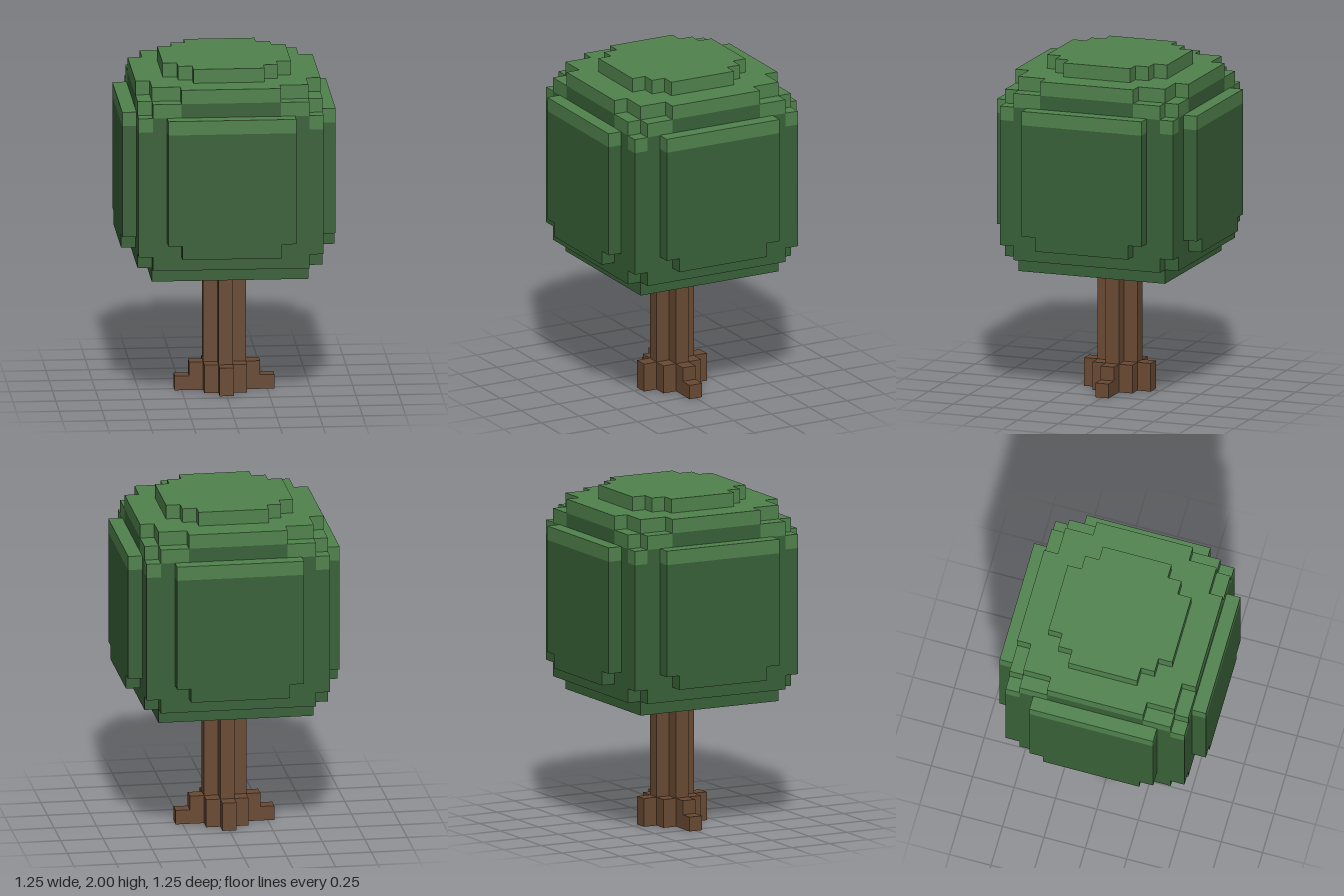
import * as THREE from 'three';

const U = 0.083;        // block size
const CROWN_Y = 0.755;  // underside of the crown

const mat = (name, color) => {
  const m = new THREE.MeshStandardMaterial({ color });
  m.name = name;
  return m;
};

// Stepped outline with four-fold symmetry; steps are [halfX, halfZ] in blocks, from wide to deep.
function steppedShape(steps) {
  const quarter = [];
  steps.forEach(([a, b], i) => {
    if (i > 0) quarter.push([a, steps[i - 1][1]]);
    quarter.push([a, b]);
  });
  const pts = [];
  for (let q = 0; q < 4; q++) {
    const c = [1, 0, -1, 0][q], s = [0, 1, 0, -1][q];
    for (const [x, y] of quarter) pts.push(new THREE.Vector2((c * x - s * y) * U, (s * x + c * y) * U));
  }
  return new THREE.Shape(pts);
}

export function createModel() {
  const tree = new THREE.Group();
  tree.name = 'blockTree';
  const lightLeaf = mat('lightLeaf', 0x50834d);
  const darkLeaf = mat('darkLeaf', 0x396138);
  const bark = mat('bark', 0x694a33);

  const add = (parent, name, geo, material) => {
    const mesh = new THREE.Mesh(geo, material);
    mesh.name = name;
    parent.add(mesh);
    return mesh;
  };
  const slab = (parent, name, steps, y0, y1, material) => {
    const geo = new THREE.ExtrudeGeometry(steppedShape(steps), { depth: y1 - y0, bevelEnabled: false });
    geo.rotateX(-Math.PI / 2).translate(0, y0, 0);
    add(parent, name, geo, material);
  };
  // Box given by its block bounds inside the crown
  const block = (parent, name, [x0, x1], [l0, l1], [z0, z1], material) => {
    const geo = new THREE.BoxGeometry((x1 - x0) * U, (l1 - l0) * U, (z1 - z0) * U);
    geo.translate((x0 + x1) / 2 * U, CROWN_Y + (l0 + l1) / 2 * U, (z0 + z1) / 2 * U);
    add(parent, name, geo, material);
  };

  // Trunk, flared base and two side roots
  slab(tree, 'trunk', [[1.5, 0.5], [0.5, 1.5]], 0.168, CROWN_Y, bark);
  slab(tree, 'trunkBase', [[2.5, 0.5], [1.5, 1.5], [0.5, 2.5]], 0, 0.168, bark);
  for (const side of [-1, 1]) {
    const root = add(tree, 'root', new THREE.BoxGeometry(U, 0.085, U), bark);
    root.position.set(side * 3 * U, 0.0425, 0);
  }

  // Crown core: stacked layers, [name, outline, first layer, end layer, material]
  const crown = new THREE.Group();
  crown.name = 'crown';
  tree.add(crown);
  const notched = [[6.5, 5.5], [5.5, 6.5]];
  const rounded = [[6.5, 3.5], [5.5, 5.5], [3.5, 6.5]];
  const layers = [
    ['crownUnderside', [[5.5, 5.5]], 0, 1, darkLeaf],
    ['crownLowerStep', notched, 1, 2, darkLeaf],
    ['crownCore', [[6.5, 6.5]], 2, 11, darkLeaf],
    ['crownShoulder', notched, 11, 12, darkLeaf],
    ['crownUpperStep', rounded, 12, 13, darkLeaf],
    ['crownUpperRim', rounded, 13, 14, lightLeaf],
    ['crownTop', [[4.5, 2.5], [3.5, 3.5], [2.5, 4.5]], 14, 15, lightLeaf],
  ];
  for (const [name, steps, l0, l1, material] of layers)
    slab(crown, name, steps, CROWN_Y + l0 * U, CROWN_Y + l1 * U, material);

  // One raised panel and one stepped corner on each side
  for (let i = 0; i < 4; i++) {
    const side = new THREE.Group();
    side.name = 'crownSide';
    side.rotation.y = i * Math.PI / 2;
    crown.add(side);
    block(side, 'panelFoot', [-3.5, 3.5], [2, 3], [6.5, 7.5], darkLeaf);
    block(side, 'panel', [-4.5, 4.5], [3, 11], [6.5, 7.5], darkLeaf);
    block(side, 'panelTip', [-4.5, 4.5], [11, 12], [6.5, 7.5], lightLeaf);
    block(side, 'cornerTip', [5.5, 6.5], [11, 12], [5.5, 6.5], lightLeaf);
    block(side, 'shoulderTipLeft', [3.5, 5.5], [12, 13], [5.5, 6.5], lightLeaf);
    block(side, 'shoulderTipRight', [-5.5, -3.5], [12, 13], [5.5, 6.5], lightLeaf);
  }
  return tree;
}
